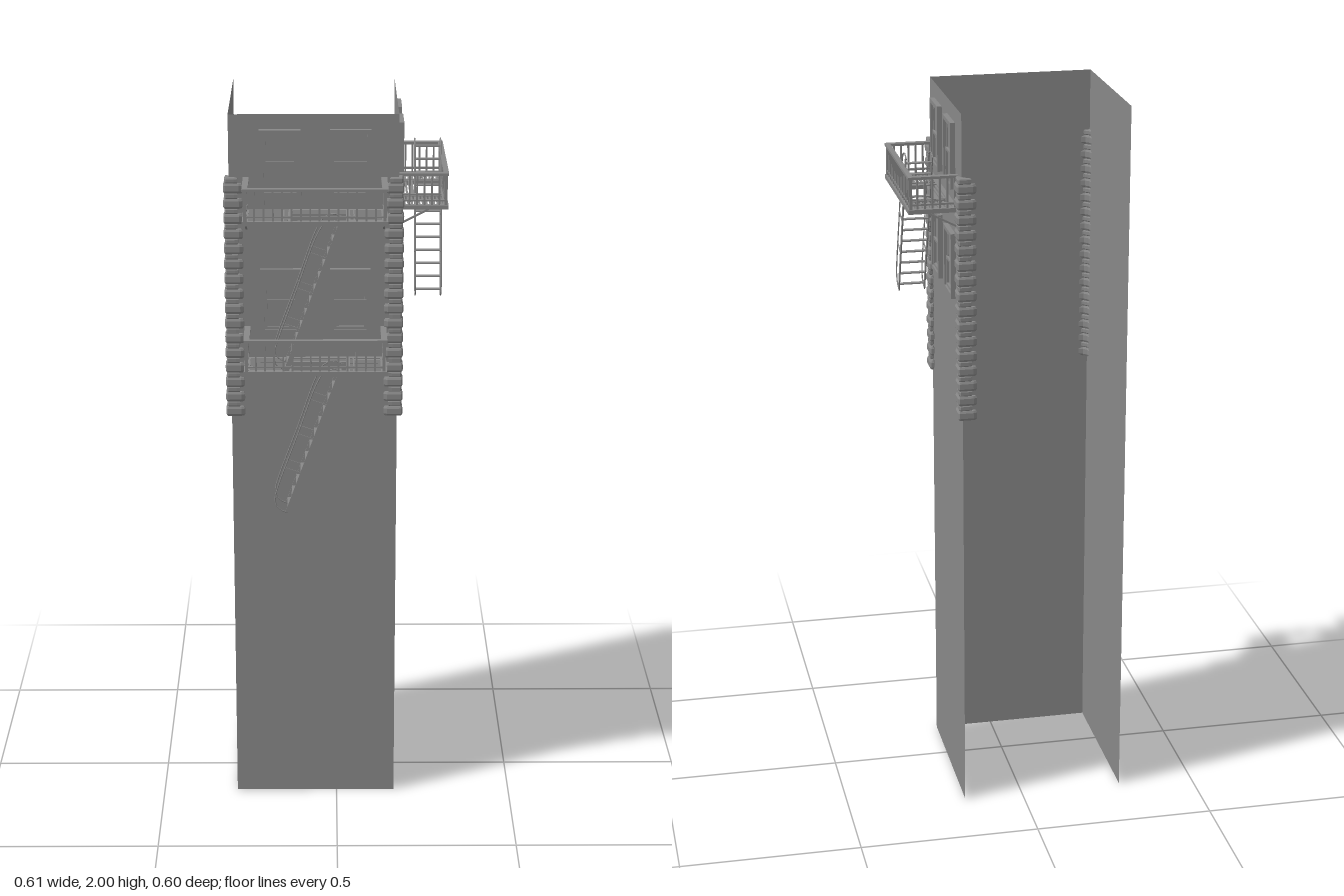
import * as THREE from 'three';

const mat = new THREE.MeshStandardMaterial({ color: 0x888888, flatShading: true, side: THREE.DoubleSide });
const WALL = 0.166; // distance of the wall plane from the axis

function group(name, ...children) {
  const g = new THREE.Group();
  g.name = name;
  if (children.length) g.add(...children);
  return g;
}

// box given by its min/max corners
function box(name, x0, x1, y0, y1, z0, z1) {
  const m = new THREE.Mesh(new THREE.BoxGeometry(x1 - x0, y1 - y0, z1 - z0), mat);
  m.position.set((x0 + x1) / 2, (y0 + y1) / 2, (z0 + z1) / 2);
  m.name = name;
  return m;
}

// bar between two points
function bar(name, a, b, w, d = w) {
  const A = new THREE.Vector3(...a), B = new THREE.Vector3(...b);
  const m = new THREE.Mesh(new THREE.BoxGeometry(w, A.distanceTo(B), d), mat);
  m.position.copy(A).add(B).multiplyScalar(0.5);
  m.quaternion.setFromUnitVectors(new THREE.Vector3(0, 1, 0), B.sub(A).normalize());
  m.name = name;
  return m;
}

// double-hung window, centred on x = cx with its foot at y0
function sashWindow(cx, y0) {
  const g = group('window');
  const w = 0.055, h = 0.18, f = 0.011, back = WALL + 0.0005;
  const corners = (x, yA, yB) => [[-x, yA], [x, yA], [x, yB], [-x, yB]].map(([a, b]) => new THREE.Vector2(a, b));
  const frame = (name, x, yA, yB, t, front) => {
    const s = new THREE.Shape(corners(x, yA, yB));
    s.holes.push(new THREE.Path(corners(x - t, yA + t, yB - t)));
    const m = new THREE.Mesh(new THREE.ExtrudeGeometry(s, { depth: front - back, bevelEnabled: false }), mat);
    m.position.set(cx, y0, back);
    m.name = name;
    g.add(m);
  };
  frame('windowFrame', w, 0, h, f, 0.18);
  frame('upperSash', w - f, h / 2 - 0.005, h - f, 0.006, 0.172);
  frame('lowerSash', w - f, f, h / 2 + 0.003, 0.007, 0.175);
  g.add(box('glass', cx - w + f, cx + w - f, y0 + f, y0 + h - f, back, back + 0.002));
  return g;
}

// fire-escape balcony whose deck bottom is at y
function balcony(y) {
  const g = group('balcony');
  const L = -0.25, R = 0.135, B = 0.167, F = 0.30, T = y + 0.012, top = y + 0.1;
  const hole = [-0.117, 0.025], holeBack = 0.2;

  // deck frame and stair opening
  const beams = [
    [L, L + 0.016, B, F], [R - 0.016, R, B, F], [L, R, F - 0.014, F], [L, R, B, B + 0.013],
    [hole[0] - 0.012, hole[0], B, F], [hole[1], hole[1] + 0.011, B, F],
    [hole[0], hole[1], holeBack, holeBack + 0.012],
    [-0.143, -0.139, B, F], [0.044, 0.048, B, F]];
  for (const [x0, x1, z0, z1] of beams) g.add(box('deckBeam', x0, x1, y, T, z0, z1));

  // slats, broken around the opening
  for (let i = 0; i < 11; i++) {
    const z = 0.183 + i * 0.0099;
    const spans = z < holeBack ? [[L, R]] : [[L, hole[0]], [hole[1], R]];
    for (const [x0, x1] of spans) g.add(box('deckSlat', x0 + 0.01, x1 - 0.006, y + 0.004, y + 0.009, z - 0.0025, z + 0.0025));
  }

  // railing: broad flat handrail, thin lower rail
  const r = 0.0025, zr = F - 0.007, xl = L + 0.008, xr = R - 0.008;
  for (const [h, t, hw] of [[top, 0.007, 0.007], [y + 0.026, 0.005, 0.0025]]) {
    g.add(box('rail', xl - hw - 0.001, xr + hw + 0.001, h - t, h, zr - hw, zr + hw));
    for (const x of [xl, xr]) g.add(box('sideRail', x - hw - 0.001, x + hw + 0.001, h - t, h, B, zr - hw));
  }
  for (let i = 0; i <= 15; i++) {
    const x = THREE.MathUtils.lerp(xl, xr, i / 15), s = i % 15 ? r : 0.004;
    g.add(box('baluster', x - s, x + s, T, top - 0.005, zr - s, zr + s));
  }
  for (const x of [xl, xr]) {
    for (let i = 0; i < 6; i++) {
      const z = B + 0.008 + i * 0.02;
      g.add(box('sideBaluster', x - r, x + r, T, top - 0.005, z - r, z + r));
    }
    // wall bracket
    g.add(box('bracketPlate', x - 0.003, x + 0.003, y - 0.044, y, B, B + 0.005));
    g.add(bar('bracketBrace', [x, y - 0.04, B + 0.003], [x, y, B + 0.08], 0.005));
  }
  return g;
}

// steep stair, rising toward +x from the point (x0, y0)
function stair(x0, y0) {
  const g = group('stair');
  const dx = 0.147, dy = 0.408, len = Math.hypot(dx, dy);
  const at = (t, off, z) => [x0 + dx * t - dy / len * off, y0 + dy * t + dx / len * off, z];
  for (const z of [0.217, 0.288]) {
    g.add(bar('stringer', at(0, 0, z), at(1, 0, z), 0.013, 0.003));
    const pts = [[0, 0], [0.01, 0.03], [0.06, 0.046], [0.14, 0.05], [0.5, 0.05], [0.88, 0.05], [0.96, 0.042], [1, 0.02], [1, 0]]
      .map(([t, o]) => new THREE.Vector3(...at(t, o, z)));
    const rail = new THREE.Mesh(
      new THREE.TubeGeometry(new THREE.CatmullRomCurve3(pts, false, 'centripetal'), 28, 0.0018, 5), mat);
    rail.name = 'handrail';
    g.add(rail);
    for (const t of [0.28, 0.52, 0.76]) g.add(bar('handrailPost', at(t, 0, z), at(t, 0.05, z), 0.003));
  }
  for (let i = 0; i < 12; i++) {
    const [x, y] = at((i + 0.5) / 12, 0, 0);
    g.add(box('tread', x - 0.007, x + 0.007, y - 0.0015, y + 0.0015, 0.217, 0.288));
  }
  return g;
}

// column of alternating corner stones; +x and +z point outward
function quoins() {
  const g = group('cornerStones');
  const n = 16, pitch = 0.67 / n;
  const stone = (a, o, h, b, bt) => {
    const s = new THREE.Shape([[o, o - 0.004], [o - 0.004, o], [-a + 0.01, o], [-a, 0.011], [-a, 0.003],
      [-a * 0.8, 0.001], [-0.013, -0.003], [-0.003, -0.013], [0.001, -a * 0.8],
      [0.003, -a], [0.011, -a], [o, -a + 0.01]]
      .map(([x, z]) => new THREE.Vector2(x, z)));
    return new THREE.ExtrudeGeometry(s, { depth: h - 2 * bt, bevelThickness: bt, bevelSize: b, bevelOffset: -b, bevelSegments: 1 })
      .translate(0, 0, bt - h / 2).rotateX(Math.PI / 2);
  };
  const kinds = [stone(0.037, 0.015, pitch * 0.64, 0.003, 0.006), stone(0.024, 0.012, pitch * 0.36, 0.002, 0.003)];
  for (let i = 0; i < n; i++) {
    kinds.forEach((geo, k) => {
      const m = new THREE.Mesh(geo, mat);
      m.position.y = 1.16 + pitch * (i + (k ? 0.82 : 0.32));
      m.name = k ? 'shortStone' : 'longStone';
      g.add(m);
    });
  }
  return g;
}

export function createModel() {
  const model = group('tenementCorner');

  // three thin walls, open at the back, top and bottom
  const wall = (name, w, x, z, ry) => {
    const m = new THREE.Mesh(new THREE.PlaneGeometry(w, 2), mat);
    m.position.set(x, 1, z);
    m.rotation.y = ry;
    m.name = name;
    model.add(m);
  };
  const far = -0.288, mid = (WALL + far) / 2, width = WALL - far;
  wall('frontWall', width, mid, WALL, 0);
  wall('leftWall', width, WALL, mid, Math.PI / 2);
  wall('rightWall', width, far, mid, -Math.PI / 2);

  // front facade
  const front = group('frontFacade');
  for (const x of [-0.151, 0.037]) front.add(sashWindow(x, 1.78), sashWindow(x, 1.398));
  front.add(balcony(1.73), balcony(1.315), stair(-0.135, 1.328), stair(-0.135, 0.917));

  // left facade: the same layout turned a quarter
  const side = group('leftFacade');
  for (const x of [-0.154, 0.036]) side.add(sashWindow(x, 1.78), sashWindow(x, 1.478));
  side.add(balcony(1.73), stair(-0.115, 1.45));
  side.rotation.y = Math.PI / 2;
  side.position.set(0.002, 0, -0.122);
  model.add(front, side);

  // corner stones
  for (const [x, z, ry] of [[WALL, WALL, 0], [far, WALL, -Math.PI / 2], [WALL, far, Math.PI / 2]]) {
    const q = quoins();
    q.position.set(x, 0, z);
    q.rotation.y = ry;
    model.add(q);
  }
  return model;
}
